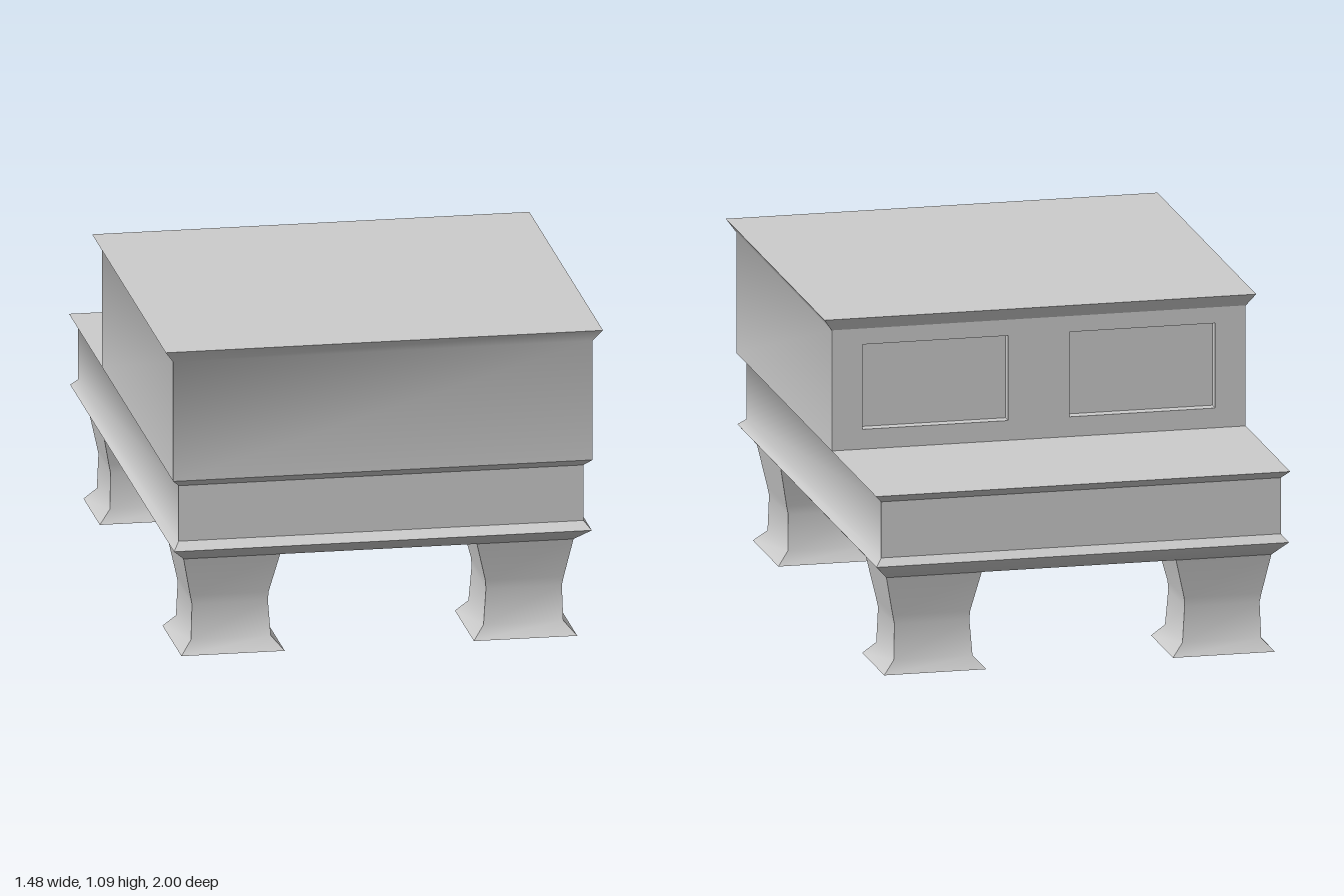
import * as THREE from 'three';
import { toCreasedNormals } from 'three/addons/utils/BufferGeometryUtils.js';

const grey = new THREE.MeshStandardMaterial({ color: 0xcccccc });
const greyOpen = new THREE.MeshStandardMaterial({ color: 0xcccccc, side: THREE.DoubleSide });

// Stack of rectangles [y, x0, x1, z0, z1]; skip(level, side) leaves a wall out.
// Sides: 0 = +x, 1 = back, 2 = -x, 3 = front
function loft(rings, { top = true, bottom = true, skip = () => false } = {}) {
  const pos = [], index = [];
  for (const [y, x0, x1, z0, z1] of rings) {
    pos.push(x1, y, z1, x1, y, z0, x0, y, z0, x0, y, z1);
  }
  for (let i = 0; i < rings.length - 1; i++) {
    for (let j = 0; j < 4; j++) {
      if (skip(i, j)) continue;
      const a = i * 4 + j, b = i * 4 + (j + 1) % 4;
      index.push(a, b, b + 4, a, b + 4, a + 4);
    }
  }
  const t = (rings.length - 1) * 4;
  if (top) index.push(t, t + 1, t + 2, t, t + 2, t + 3);
  if (bottom) index.push(0, 2, 1, 0, 3, 2);
  const geo = new THREE.BufferGeometry();
  geo.setAttribute('position', new THREE.Float32BufferAttribute(pos, 3));
  geo.setIndex(index);
  return toCreasedNormals(geo, 0.76);
}

function add(parent, name, geo, material = grey) {
  const mesh = new THREE.Mesh(geo, material);
  mesh.name = name;
  parent.add(mesh);
  return mesh;
}

function rect(Type, x0, x1, y0, y1) {
  return new Type([[x0, y0], [x1, y0], [x1, y1], [x0, y1]].map(p => new THREE.Vector2(...p)));
}

export function createModel() {
  const model = new THREE.Group();
  model.name = 'steppedChest';

  // Lower body with a moulding at the bottom and at the deck
  add(model, 'lowerBody', loft([
    [0.333, -0.66, 0.66, -0.94, 0.89],
    [0.385, -0.707, 0.707, -0.995, 0.973],
    [0.41, -0.685, 0.685, -0.97, 0.937],
    [0.603, -0.685, 0.685, -0.97, 0.937],
    [0.63, -0.71, 0.71, -1, 0.973],
  ]));

  // Upper box with a flared lid; its back wall is a separate panel
  const back = -0.373;
  add(model, 'upperBox', loft([
    [0.63, -0.71, 0.71, back, 0.973],
    [1.045, -0.71, 0.71, back, 0.973],
    [1.087, -0.74, 0.74, -0.395, 1],
  ], { bottom: false, skip: (i, j) => i === 0 && j === 1 }));

  // Back wall with two sunken windows
  const depth = 0.04;
  const wall = rect(THREE.Shape, -0.709, 0.709, 0.63, 1.045);
  for (const s of [-1, 1]) {
    const x0 = s * 0.355 - 0.25, x1 = s * 0.355 + 0.25;
    wall.holes.push(rect(THREE.Path, x0, x1, 0.698, 0.99));
    const pane = add(model, s > 0 ? 'leftWindowPane' : 'rightWindowPane',
      new THREE.PlaneGeometry(0.51, 0.3));
    pane.rotation.y = Math.PI;
    pane.position.set(s * 0.355, 0.844, back + depth - 0.001);
  }
  const panel = new THREE.ExtrudeGeometry(wall, { depth, bevelEnabled: false });
  add(model, 'backWall', panel.translate(0, 0, back));

  // Waisted legs with flared feet, hollow from below: [y, xIn, xOut, z0, z1]
  const frontLeg = [
    [0, 0.32, 0.67, 0.545, 0.905],
    [0.043, 0.36, 0.63, 0.577, 0.863],
    [0.165, 0.369, 0.626, 0.587, 0.858],
    [0.195, 0.367, 0.632, 0.585, 0.86],
    [0.333, 0.333, 0.66, 0.552, 0.89],
  ];
  const backLeg = [
    [0, 0.32, 0.67, -0.95, -0.64],
    [0.043, 0.36, 0.63, -0.92, -0.673],
    [0.165, 0.369, 0.626, -0.913, -0.682],
    [0.195, 0.367, 0.632, -0.915, -0.68],
    [0.333, 0.333, 0.66, -0.94, -0.65],
  ];
  for (const [name, rings] of [['Front', frontLeg], ['Back', backLeg]]) {
    for (const s of [-1, 1]) {
      const placed = rings.map(([y, a, b, z0, z1]) => s > 0 ? [y, a, b, z0, z1] : [y, -b, -a, z0, z1]);
      add(model, (s > 0 ? 'left' : 'right') + name + 'Leg',
        loft(placed, { top: false, bottom: false }), greyOpen);
    }
  }
  return model;
}
